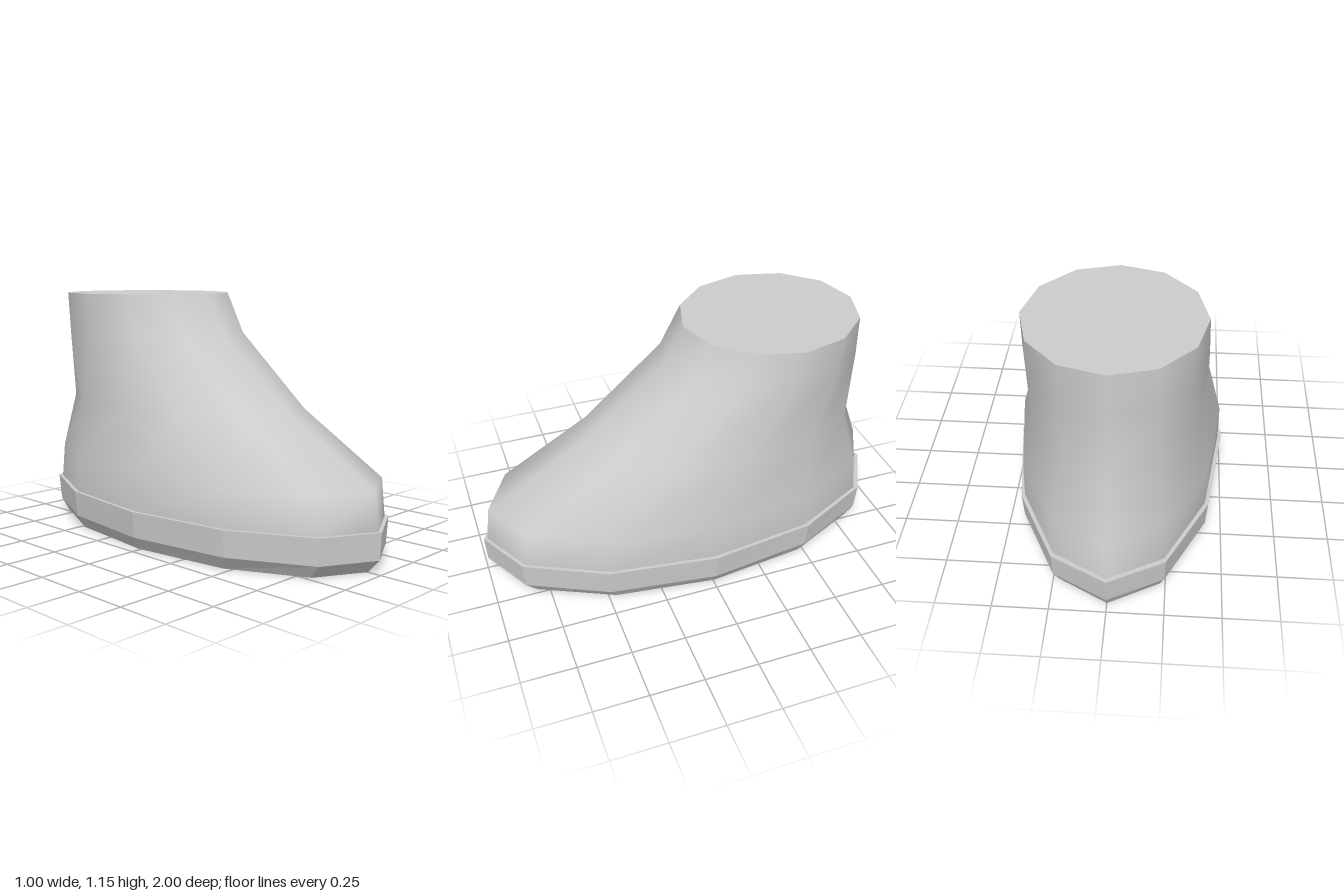
import * as THREE from 'three';
import { mergeGeometries } from 'three/addons/utils/BufferGeometryUtils.js';

const SIDES = 12;

// Skin through elliptical rings [y, halfWidth, zBack, zFront], listed bottom to top.
function loft(rings, flat) {
  const positions = [], index = [];
  for (const [y, rx, zBack, zFront] of rings) {
    for (let i = 0; i < SIDES; i++) {
      const a = (i / SIDES) * Math.PI * 2;
      positions.push(rx * Math.sin(a), y, (zFront + zBack) / 2 + ((zFront - zBack) / 2) * Math.cos(a));
    }
  }
  for (let r = 0; r < rings.length - 1; r++) {
    for (let i = 0; i < SIDES; i++) {
      const j = (i + 1) % SIDES;
      const a = r * SIDES + i, b = r * SIDES + j;
      index.push(a, b, b + SIDES, a, b + SIDES, a + SIDES);
    }
  }
  let side = new THREE.BufferGeometry();
  side.setAttribute('position', new THREE.Float32BufferAttribute(positions, 3));
  side.setIndex(index);
  if (flat) side = side.toNonIndexed();
  side.computeVertexNormals();
  return side.index ? side.toNonIndexed() : side;
}

// Flat lid over one ring, facing up or down.
function cap([y, rx, zBack, zFront], up) {
  const g = new THREE.CircleGeometry(1, SIDES).toNonIndexed();
  g.deleteAttribute('uv');
  g.rotateX(up ? -Math.PI / 2 : Math.PI / 2);
  g.scale(rx, 1, (zFront - zBack) / 2);
  g.translate(0, y, (zFront + zBack) / 2);
  return g;
}

export function createModel() {
  const model = new THREE.Group();
  model.name = 'boot';
  const grey = new THREE.MeshStandardMaterial({ color: 0xcccccc });
  grey.name = 'light grey';

  const add = (name, rings, flat) => {
    const geometry = mergeGeometries([
      loft(rings, flat),
      cap(rings[0], false),
      cap(rings[rings.length - 1], true),
    ]);
    const mesh = new THREE.Mesh(geometry, grey);
    mesh.name = name;
    model.add(mesh);
  };

  // Faceted sole with a bevelled lower edge
  add('sole', [
    [0, 0.45, -0.95, 0.935],
    [0.063, 0.49, -0.988, 0.993],
    [0.185, 0.5, -1, 1],
  ], true);

  // Smooth foot rising into the ankle, closed at the top
  add('upper', [
    [0.18, 0.483, -0.978, 0.983],
    [0.355, 0.483, -0.952, 0.96],
    [0.625, 0.411, -0.856, 0.51],
    [0.96, 0.401, -0.85, 0.1],
    [1.15, 0.394, -0.846, -0.007],
  ], false);

  return model;
}
